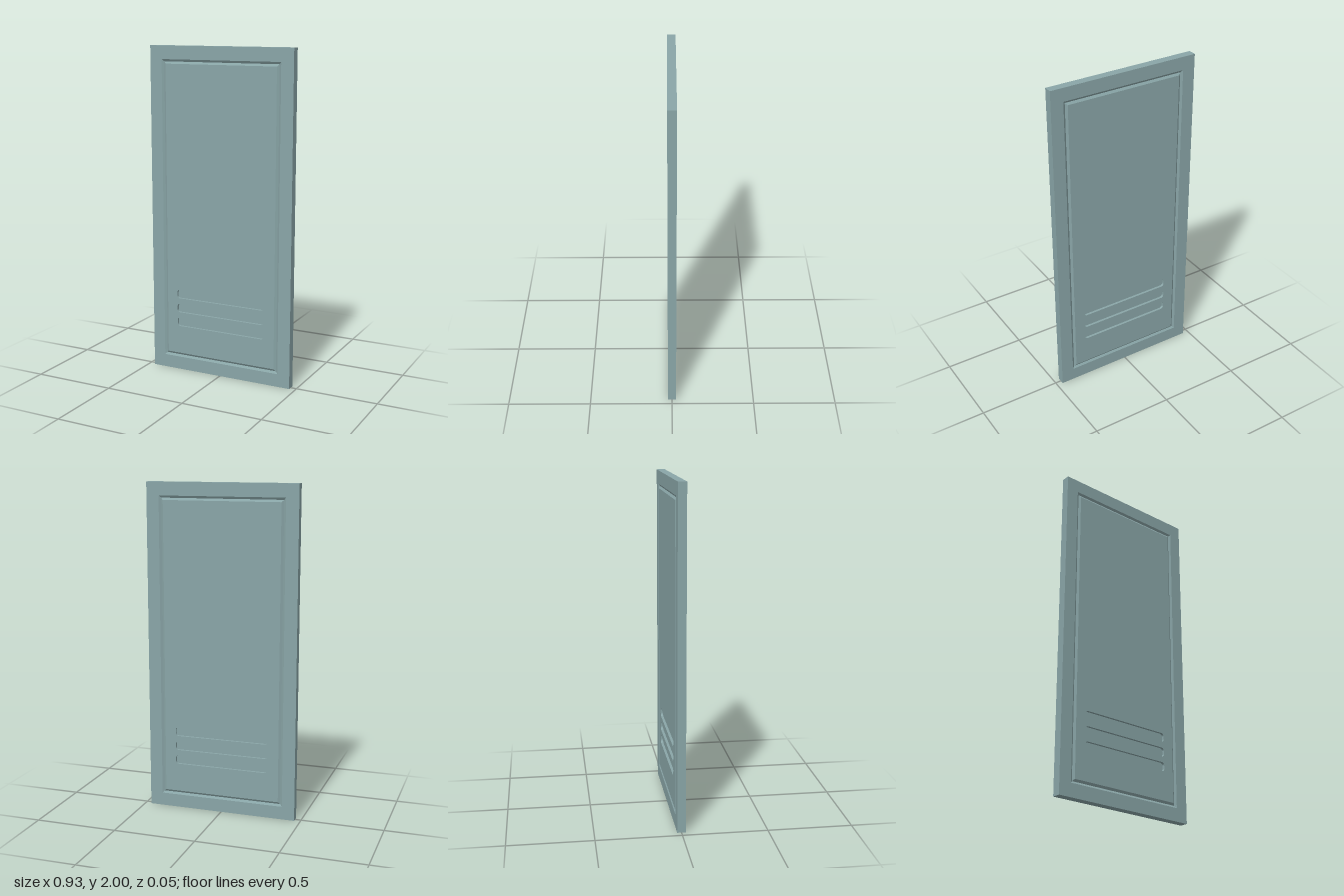
import * as THREE from 'three';

const W = 0.463, H = 1.0, T = 0.025;      // half width, half height, half thickness
const GROOVE = 0.013, GROOVE_DEPTH = 0.009;
const SLOT_DEPTH = 0.015;

// Surface through nested rectangles [halfWidth, halfHeight, z], outside to inside
function rectLoops(loops) {
  const corners = [[-1, -1], [1, -1], [1, 1], [-1, 1]];
  const pos = [];
  for (let i = 0; i < loops.length - 1; i++) {
    for (let k = 0; k < 4; k++) {
      const at = (l, c) => [corners[c % 4][0] * l[0], corners[c % 4][1] * l[1], l[2]];
      const a = at(loops[i], k), b = at(loops[i], k + 1);
      const c = at(loops[i + 1], k + 1), d = at(loops[i + 1], k);
      pos.push(...a, ...b, ...c, ...a, ...c, ...d);
    }
  }
  const g = new THREE.BufferGeometry();
  g.setAttribute('position', new THREE.Float32BufferAttribute(pos, 3));
  g.computeVertexNormals();
  return g;
}

// Rounded rectangle outline centred on (0, cy)
function roundedRect(path, hw, hh, cy, r) {
  path.moveTo(-hw + r, cy - hh);
  path.lineTo(hw - r, cy - hh);
  path.absarc(hw - r, cy - hh + r, r, -Math.PI / 2, 0);
  path.lineTo(hw, cy + hh - r);
  path.absarc(hw - r, cy + hh - r, r, 0, Math.PI / 2);
  path.lineTo(-hw + r, cy + hh);
  path.absarc(-hw + r, cy + hh - r, r, Math.PI / 2, Math.PI);
  path.lineTo(-hw, cy - hh + r);
  path.absarc(-hw + r, cy - hh + r, r, Math.PI, Math.PI * 1.5);
  return path;
}

export function createModel() {
  const door = new THREE.Group();
  door.name = 'door';
  const mat = new THREE.MeshStandardMaterial({ color: 0x8aa6a8 });
  const add = (parent, name, geo) => {
    const m = new THREE.Mesh(geo, mat);
    m.name = name;
    parent.add(m);
    return m;
  };

  // Centre line of the V groove, and the panel inside it
  const gw = W - 0.09, gh = H - 0.093;
  const pw = gw - GROOVE, ph = gh - GROOVE;

  // Both faces are alike, so one half is built twice
  for (const [side, turn] of [['front', 0], ['back', Math.PI]]) {
    const half = new THREE.Group();
    half.name = side + 'Face';
    half.position.y = H;
    half.rotation.y = turn;

    // Door edge, flat border and groove
    add(half, side + 'FrameAndGroove', rectLoops([
      [W, H, 0], [W, H, T],
      [gw + GROOVE, gh + GROOVE, T],
      [gw, gh, T - GROOVE_DEPTH],
      [pw, ph, T],
    ]));

    // Panel with three vent slots
    const shape = new THREE.Shape();
    shape.moveTo(-pw, -ph).lineTo(pw, -ph).lineTo(pw, ph).lineTo(-pw, ph);
    for (const y of [0.308, 0.397, 0.487]) {
      shape.holes.push(roundedRect(new THREE.Path(), 0.293, 0.027, y - H, 0.018));
    }
    const panel = new THREE.ExtrudeGeometry(shape, { depth: SLOT_DEPTH, bevelEnabled: false, curveSegments: 6 });
    panel.translate(0, 0, T - SLOT_DEPTH);
    add(half, side + 'Panel', panel);
    door.add(half);
  }

  // Core that closes the bottoms of the slots
  add(door, 'core', new THREE.BoxGeometry(pw * 2, ph * 2, 2 * (T - SLOT_DEPTH))).position.y = H;
  return door;
}
